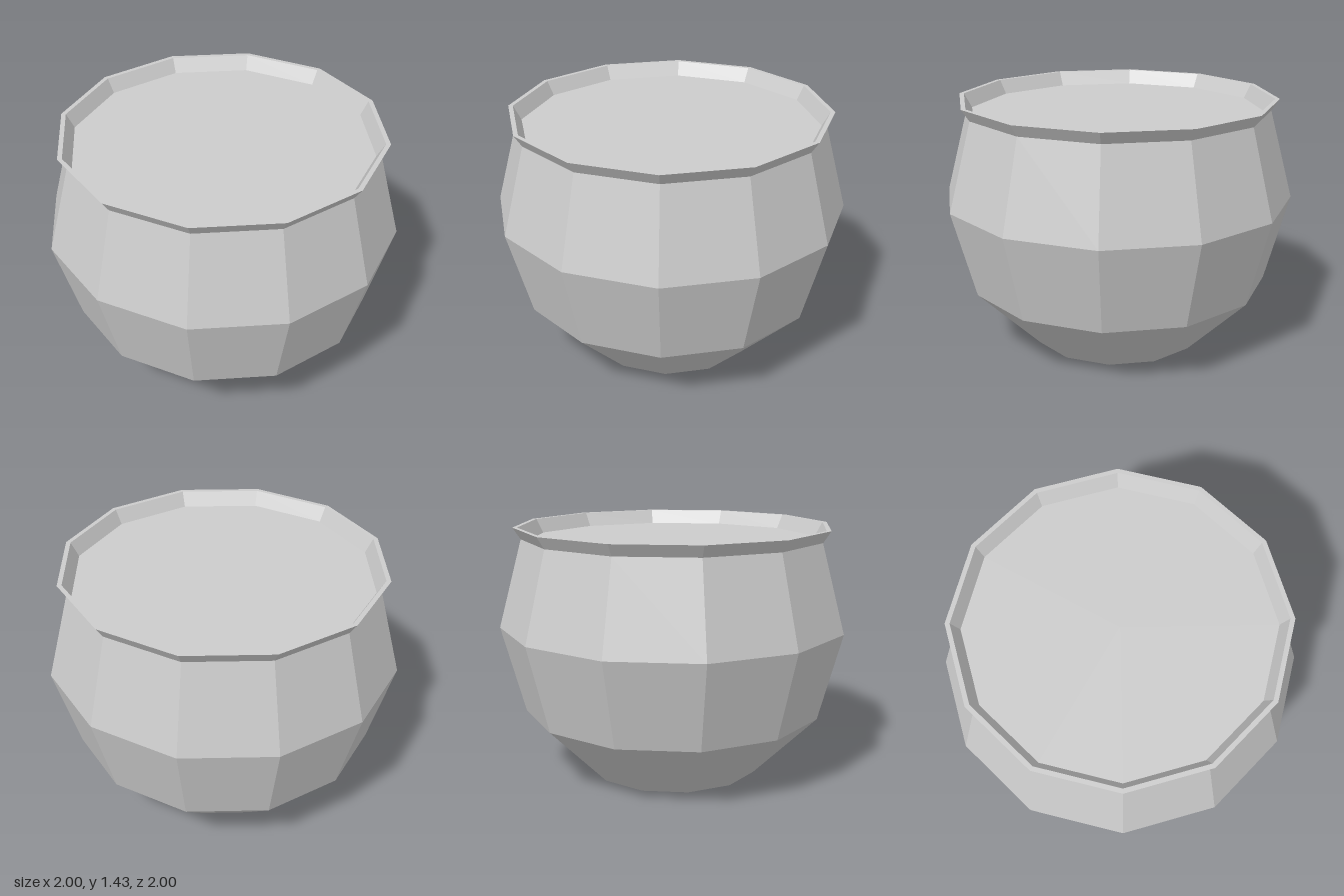
import * as THREE from 'three';

const SIDES = 12;
const material = new THREE.MeshStandardMaterial({ color: 0xcccccc, flatShading: true });

// Faceted ring surface from [radius, height] points; running upwards faces outwards
function turned(name, profile) {
  const points = profile.map(([r, y]) => new THREE.Vector2(r, y));
  const mesh = new THREE.Mesh(new THREE.LatheGeometry(points, SIDES), material);
  mesh.name = name;
  return mesh;
}

export function createModel() {
  const group = new THREE.Group();
  group.name = 'pot';

  // Rounded body with a flat base
  group.add(turned('body', [[0, 0], [0.5, 0], [0.866, 0.366], [1, 0.866], [0.866, 1.366]]));

  // Flared lip: outer slope, narrow top edge, inner slope
  group.add(turned('rim', [[0.866, 1.366], [0.91, 1.432], [0.884, 1.432], [0.84, 1.352]]));

  // Flat surface filling the opening just below the lip
  group.add(turned('filling', [[0.84, 1.352], [0, 1.352]]));

  return group;
}
